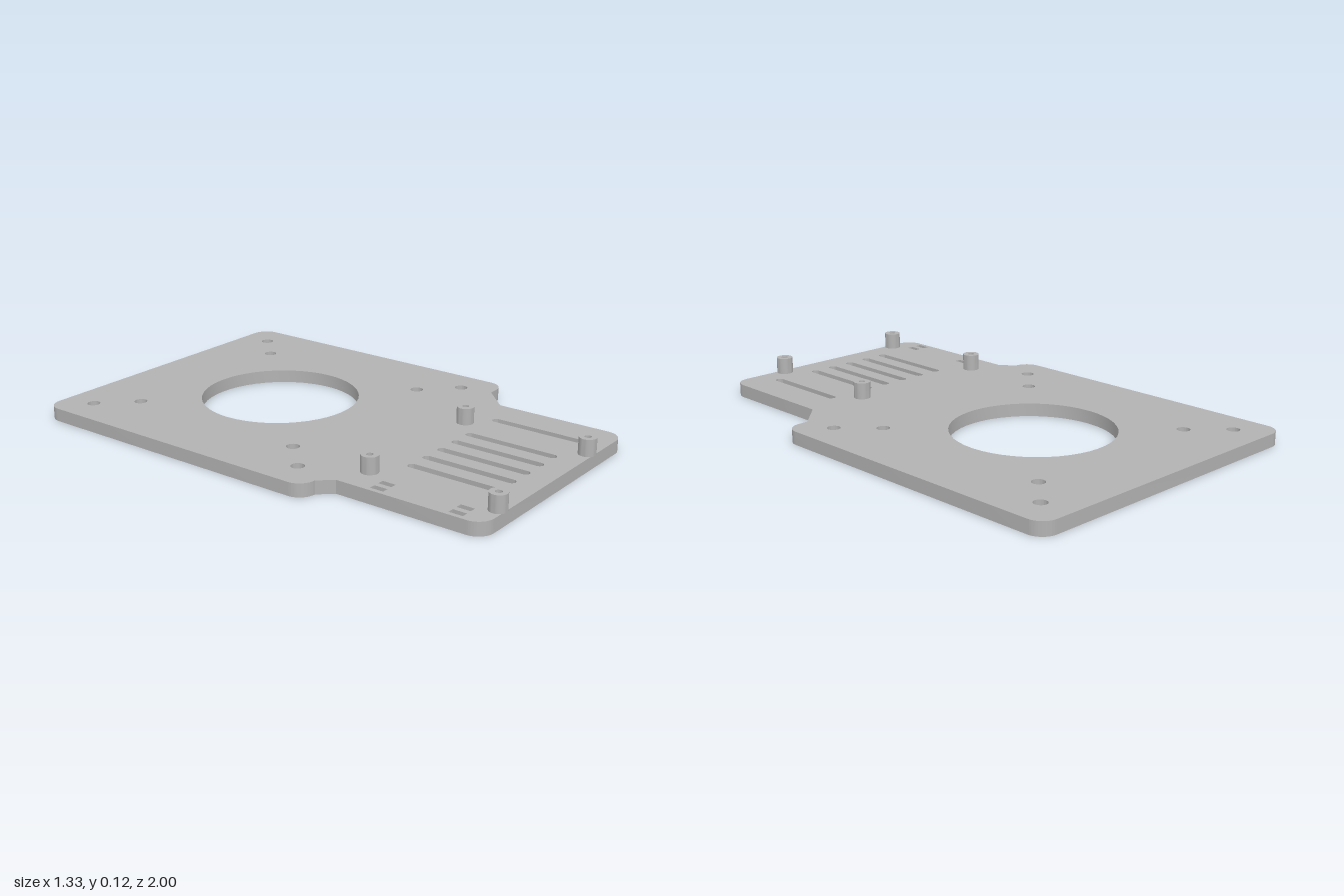
import * as THREE from 'three';
import { toCreasedNormals } from 'three/addons/utils/BufferGeometryUtils.js';

const THICK = 0.053;
const TOP = 0.12;

// Shapes are drawn in (x, -z) and laid flat afterwards.
function circleHole(x, z, r) {
  const p = new THREE.Path();
  p.absarc(x, -z, r, 0, Math.PI * 2, false);
  return p;
}

function slotHole(x, z0, z1, w) {
  const r = w / 2;
  const p = new THREE.Path();
  p.moveTo(x + r, -z1 + r);
  p.lineTo(x + r, -z0 - r);
  p.absarc(x, -z0 - r, r, 0, Math.PI, false);
  p.lineTo(x - r, -z1 + r);
  p.absarc(x, -z1 + r, r, Math.PI, Math.PI * 2, false);
  return p;
}

function rectHole(x, z0, z1, w) {
  const r = w / 2;
  return new THREE.Path([[x - r, -z1], [x + r, -z1], [x + r, -z0], [x - r, -z0]]
    .map(([a, b]) => new THREE.Vector2(a, b)));
}

function plateShape() {
  const s = new THREE.Shape();
  const r = 0.067, w = 0.667, h = Math.PI / 2;
  const front = -0.99, step = -0.333;
  // narrow front section
  s.moveTo(-0.55 + r, front);
  s.lineTo(0.45 - r, front);
  s.absarc(0.45 - r, front + r, r, -h, 0, false);
  // right chamfer into the wide section
  s.lineTo(0.45, -0.443);
  s.lineTo(0.56, step);
  s.lineTo(w - r, step);
  s.absarc(w - r, step + r, r, -h, 0, false);
  s.lineTo(w, 1 - r);
  s.absarc(w - r, 1 - r, r, 0, h, false);
  s.lineTo(-w + r, 1);
  s.absarc(-w + r, 1 - r, r, h, 2 * h, false);
  s.lineTo(-w, step + r);
  s.absarc(-w + r, step + r, r, 2 * h, 3 * h, false);
  // left chamfer back to the narrow section
  s.lineTo(-0.55, -0.388);
  s.lineTo(-0.55, front + r);
  s.absarc(-0.55 + r, front + r, r, 2 * h, 3 * h, false);

  // large opening and its two rings of screw holes
  s.holes.push(circleHole(0, -0.333, 0.322));
  for (const d of [0.402, 0.535])
    for (const sx of [-1, 1])
      for (const sz of [-1, 1])
        s.holes.push(circleHole(sx * d, -0.333 + sz * d, 0.026));

  // long ventilation slots
  for (const x of [-0.284, -0.188, -0.092, 0.004, 0.1, 0.292])
    s.holes.push(slotHole(x, 0.507, 0.894, 0.035));

  // small cable tie slots
  for (const x of [-0.519, -0.471])
    for (const z of [0.549, 0.871])
      s.holes.push(rectHole(x, z - 0.028, z + 0.028, 0.026));
  return s;
}

export function createModel() {
  const model = new THREE.Group();
  model.name = 'mountingPlate';
  const grey = new THREE.MeshStandardMaterial({ color: 0xb2b2b2 });
  grey.name = 'grey';

  // base plate
  const plateGeo = new THREE.ExtrudeGeometry(plateShape(), {
    depth: THICK, bevelEnabled: false, curveSegments: 24,
  });
  plateGeo.rotateX(-Math.PI / 2);
  const plate = new THREE.Mesh(toCreasedNormals(plateGeo, 0.5), grey);
  plate.name = 'basePlate';
  model.add(plate);

  // hollow standoffs
  const profile = [[0.034, THICK], [0.034, TOP], [0.013, TOP], [0.013, THICK + 0.001], [0, THICK + 0.001]]
    .map(([x, y]) => new THREE.Vector2(x, y));
  const standoffGeo = toCreasedNormals(new THREE.LatheGeometry(profile, 32), 0.5);
  for (const x of [-0.42, 0.2])
    for (const z of [0.437, 0.964]) {
      const standoff = new THREE.Mesh(standoffGeo, grey);
      standoff.name = 'standoff';
      standoff.position.set(x, 0, z);
      model.add(standoff);
    }
  return model;
}
